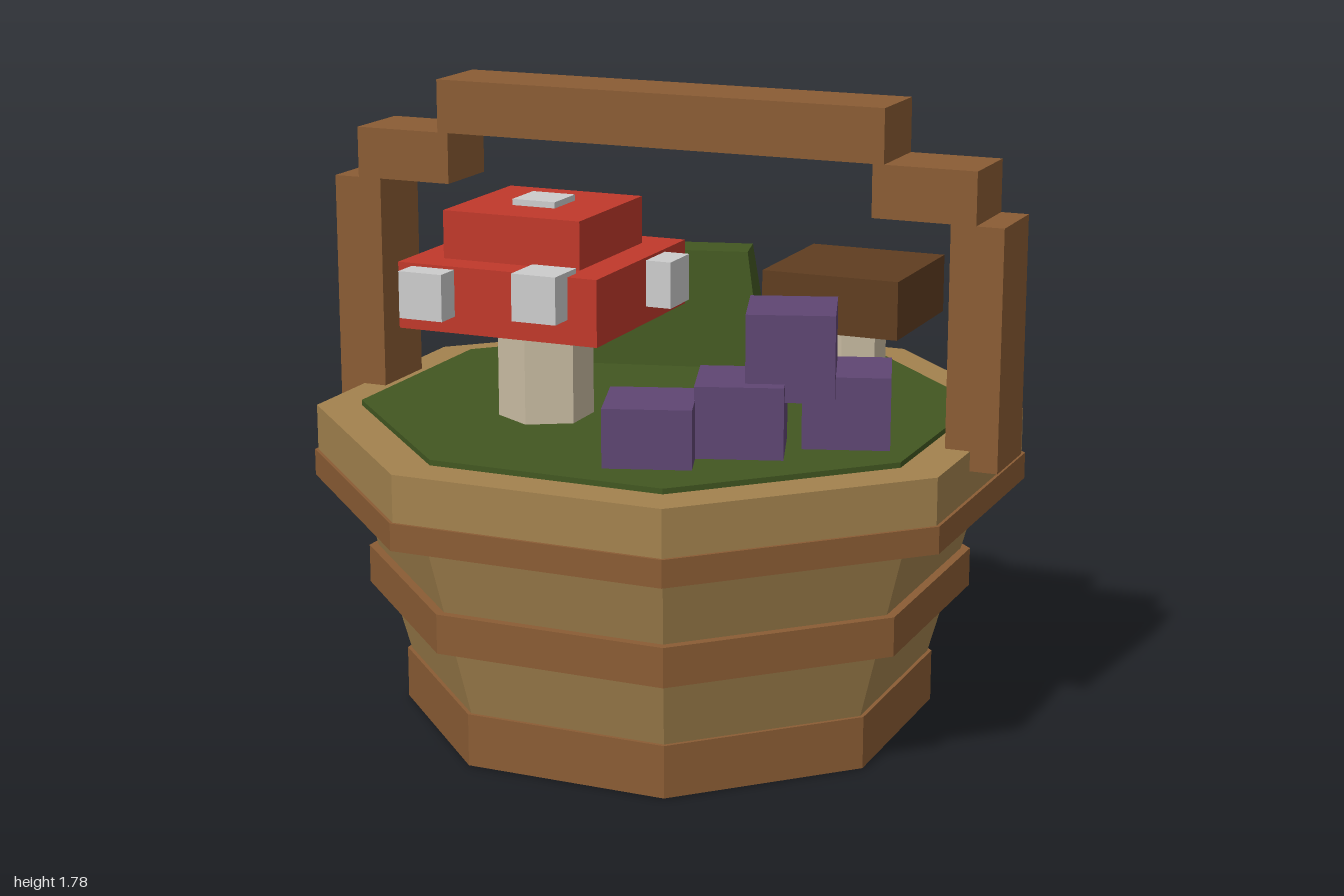
import * as THREE from 'three';

const mat = (name, color) => {
  const m = new THREE.MeshStandardMaterial({ color, flatShading: true });
  m.name = name;
  return m;
};

export function createModel() {
  const tan = mat('tan wood', 0xa3824e);
  const brown = mat('brown wood', 0x8a5c34);
  const moss = mat('moss green', 0x425721);
  const red = mat('cap red', 0xc0392b);
  const white = mat('spot white', 0xcccccc);
  const cream = mat('stem cream', 0xc9bca2);
  const umber = mat('cap brown', 0x5f3d20);
  const purple = mat('berry purple', 0x5f4673);

  const root = new THREE.Group();
  root.name = 'mushroomBasket';

  const add = (parent, name, geo, material, x, y, z, ry = 0) => {
    const mesh = new THREE.Mesh(geo, material);
    mesh.name = name;
    mesh.position.set(x, y, z);
    mesh.rotation.y = ry;
    parent.add(mesh);
    return mesh;
  };
  const group = (name) => {
    const g = new THREE.Group();
    g.name = name;
    root.add(g);
    return g;
  };
  // Box given by its minimum and maximum corners
  const boxBetween = (parent, name, material, [x0, y0, z0], [x1, y1, z1]) =>
    add(parent, name, new THREE.BoxGeometry(x1 - x0, y1 - y0, z1 - z0), material,
      (x0 + x1) / 2, (y0 + y1) / 2, (z0 + z1) / 2);
  // Octagonal tier with a flat side facing front; sizes are centre to flat side
  const octagon = (parent, name, material, y0, y1, bottom, top = bottom) => {
    const k = 1 / Math.cos(Math.PI / 8);
    add(parent, name, new THREE.CylinderGeometry(top * k, bottom * k, y1 - y0, 8),
      material, 0, (y0 + y1) / 2, 0, Math.PI / 8);
  };

  // Tub: tapered wall, hoops, rim and moss filling
  const tub = group('tub');
  octagon(tub, 'wall', tan, 0, 0.7, 0.65, 0.833);
  octagon(tub, 'baseHoop', brown, 0.002, 0.15, 0.7);
  octagon(tub, 'middleHoop', brown, 0.35, 0.46, 0.795);
  octagon(tub, 'upperHoop', brown, 0.67, 0.745, 0.932);
  octagon(tub, 'rim', tan, 0.745, 0.875, 0.923);
  octagon(tub, 'mossBed', moss, 0.8, 0.89, 0.805);

  // Stepped handle
  const handle = group('handle');
  boxBetween(handle, 'handleTop', brown, [-0.665, 1.63, -0.11], [0.665, 1.78, 0.11]);
  for (const s of [-1, 1]) {
    const side = s > 0 ? 'left' : 'right';
    add(handle, side + 'HandleShoulder', new THREE.BoxGeometry(0.29, 0.145, 0.22), brown, s * 0.778, 1.5575, 0);
    add(handle, side + 'HandlePost', new THREE.BoxGeometry(0.147, 0.665, 0.22), brown, s * 0.9265, 1.1525, 0);
  }

  // Red spotted mushroom
  const redMushroom = group('redMushroom');
  add(redMushroom, 'redStem', new THREE.CylinderGeometry(0.132, 0.132, 0.3, 6), cream, -0.26, 1.03, 0.257);
  boxBetween(redMushroom, 'redCapLower', red, [-0.555, 1.17, -0.035], [0.033, 1.352, 0.55]);
  boxBetween(redMushroom, 'redCapUpper', red, [-0.464, 1.352, 0.055], [-0.058, 1.484, 0.46]);
  const spots = [
    [-0.45, 1.28, 0.56], [-0.115, 1.302, 0.56], [0.042, 1.28, 0.17], [-0.262, 1.437, 0.255],
  ];
  for (const p of spots) add(redMushroom, 'capSpot', new THREE.BoxGeometry(0.128, 0.128, 0.128), white, ...p);

  // Brown mushroom
  const brownMushroom = group('brownMushroom');
  add(brownMushroom, 'brownStem', new THREE.CylinderGeometry(0.095, 0.095, 0.24, 6), cream, 0.44, 1.0, -0.3);
  boxBetween(brownMushroom, 'brownCap', umber, [0.24, 1.105, -0.505], [0.64, 1.27, -0.1]);

  // Berry cubes: x, z, bottom, top
  const berries = group('berries');
  const cubes = [
    [0.187, 0.551, 0.85, 1.05], [0.37, 0.37, 0.85, 1.085],
    [0.595, 0.17, 0.85, 1.088], [0.48, 0.287, 1.035, 1.27],
  ];
  for (const [x, z, y0, y1] of cubes) {
    add(berries, 'berry', new THREE.BoxGeometry(0.235, y1 - y0, 0.235), purple, x, (y0 + y1) / 2, z, 0.33);
  }

  // Mossy mound: box narrowed towards the top
  const mound = new THREE.BoxGeometry(0.542, 0.345, 0.21);
  const pos = mound.attributes.position;
  for (let i = 0; i < pos.count; i++) {
    if (pos.getY(i) > 0) {
      pos.setX(i, pos.getX(i) * 0.81);
      pos.setZ(i, pos.getZ(i) * 0.6);
    }
  }
  mound.computeVertexNormals();
  add(root, 'mossMound', mound, moss, -0.187, 1.0605, -0.487, 0.26);

  return root;
}
